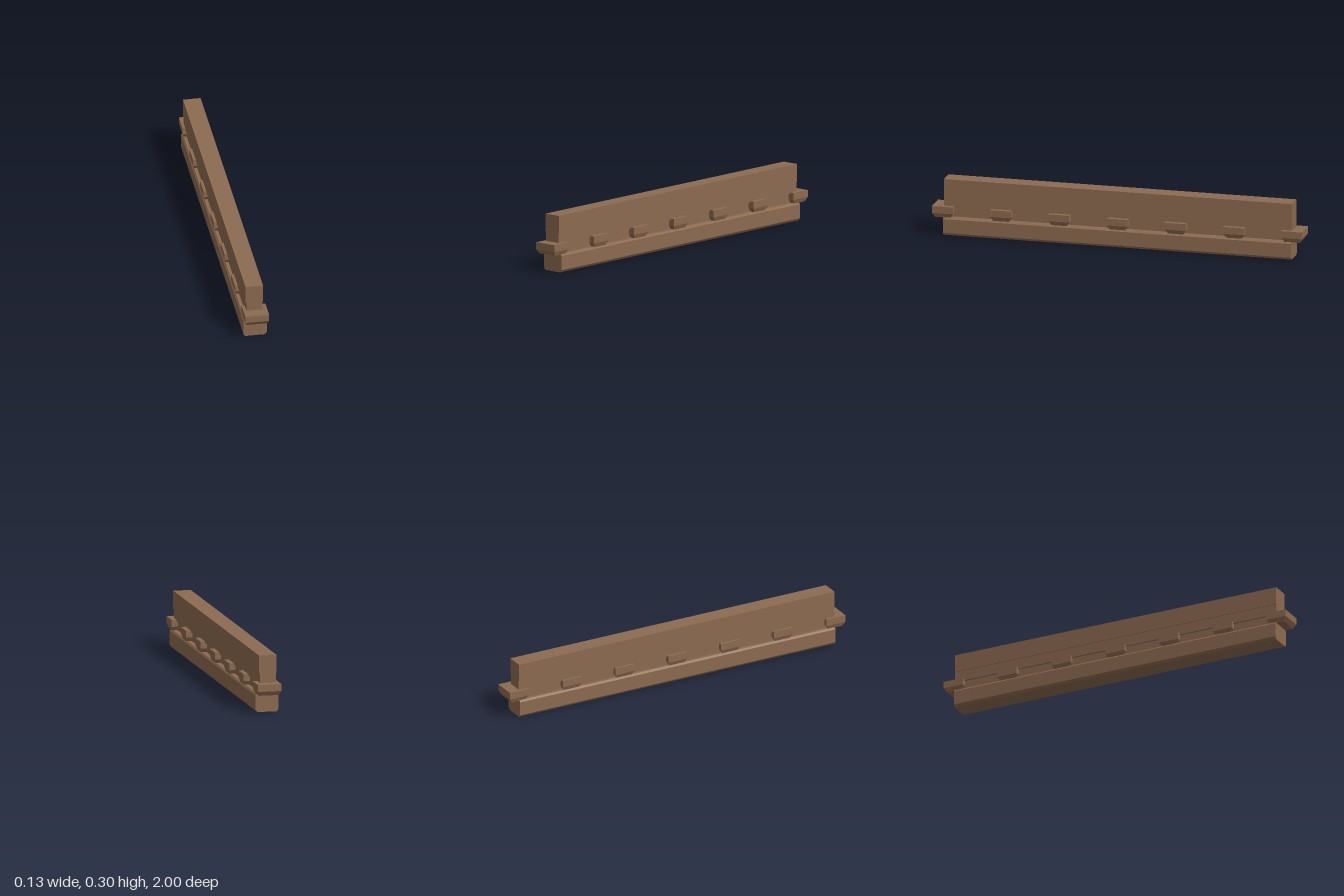
import * as THREE from 'three';

const LENGTH = 1.88;

export function createModel() {
  const group = new THREE.Group();
  group.name = 'beamAssembly';
  const wood = new THREE.MeshStandardMaterial({ color: 0x8c6a50 });
  wood.name = 'brown wood';

  const add = (name, geometry, x = 0, y = 0, z = 0) => {
    const mesh = new THREE.Mesh(geometry, wood);
    mesh.name = name;
    mesh.position.set(x, y, z);
    group.add(mesh);
  };

  // Long beam: a cross-section in x, y extruded along z
  const beam = (name, points) => {
    const shape = new THREE.Shape(points.map(([x, y]) => new THREE.Vector2(x, y)));
    const geometry = new THREE.ExtrudeGeometry(shape, { depth: LENGTH, bevelEnabled: false });
    add(name, geometry, 0, 0, -LENGTH / 2);
  };

  // Bottom beam with chamfered long edges
  beam('lowerBeam', [
    [-0.052, 0], [0.051, 0], [0.061, 0.013], [0.061, 0.088],
    [0.053, 0.097], [-0.055, 0.097], [-0.063, 0.088], [-0.063, 0.013],
  ]);

  // Upper beam stepping in to a neck and a recessed core
  beam('upperBeam', [
    [-0.039, 0.097], [0.029, 0.097], [0.029, 0.147], [0.038, 0.147],
    [0.038, 0.204], [0.042, 0.204], [0.042, 0.3], [-0.052, 0.3],
    [-0.052, 0.204], [-0.048, 0.204], [-0.048, 0.147], [-0.039, 0.147],
  ]);

  // Cross joist: a block whose lower part tapers on all four sides
  const joist = (width, depth) => {
    const box = new THREE.BoxGeometry(width, 2, depth, 1, 2, 1);
    const pos = box.attributes.position;
    for (let i = 0; i < pos.count; i++) {
      const level = Math.round(pos.getY(i)) + 1;
      pos.setY(i, [0.095, 0.118, 0.155][level]);
      if (level === 0) {
        pos.setX(i, pos.getX(i) - Math.sign(pos.getX(i)) * 0.009);
        pos.setZ(i, pos.getZ(i) - Math.sign(pos.getZ(i)) * 0.015);
      }
    }
    const geometry = box.toNonIndexed();
    geometry.computeVertexNormals();
    return geometry;
  };

  // Evenly spaced joists, the outer two projecting past the beams
  for (let i = -3; i <= 3; i++) {
    const name = Math.abs(i) === 3 ? 'endJoist' : 'joist';
    add(name, joist(0.126, 0.113), 0, 0, i * 0.3145);
  }
  return group;
}
